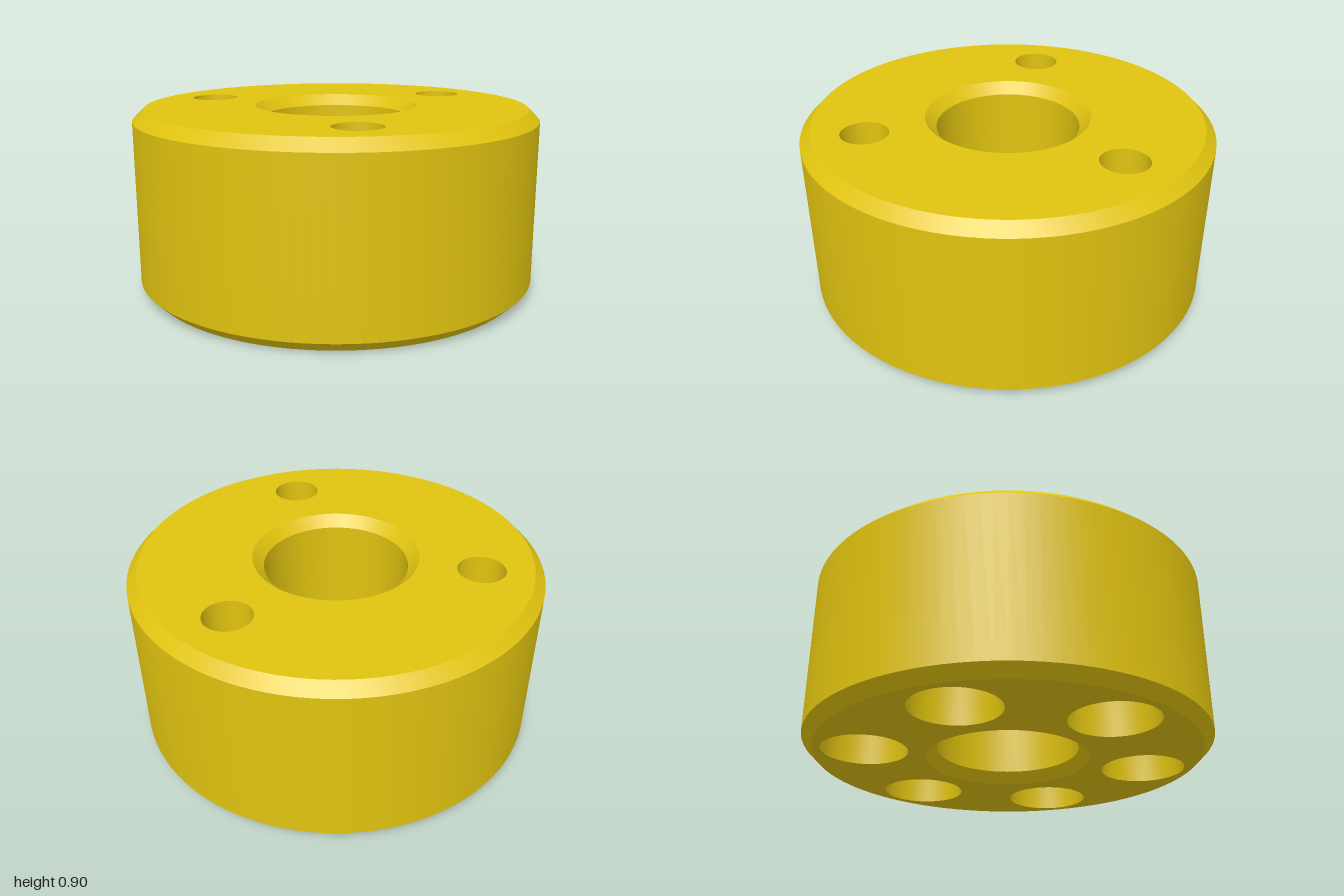
import * as THREE from 'three';
import { toCreasedNormals } from 'three/addons/utils/BufferGeometryUtils.js';

const SEG = 96, H = 0.9, C = 0.053, BORE = 0.35, RING = 0.7;
const TOP_R = 0.115, POCKET_R = 0.208, POCKET_WALL = 0.2;

// Surface of revolution with sharp chamfer edges; upward profiles face outward
function turned(points) {
  const g = new THREE.LatheGeometry(points.map(([x, y]) => new THREE.Vector2(x, y)), SEG);
  return toCreasedNormals(g, 0.5);
}

// Evenly spaced positions on the hole circle, the first at +z
function ringPositions(count) {
  return Array.from({ length: count }, (_, i) => {
    const a = (i / count) * Math.PI * 2;
    return [RING * Math.sin(a), RING * Math.cos(a)];
  });
}

// Flat end face with the bore and hole circle cut out, facing up or down
function endFace(holes, r, up) {
  const shape = new THREE.Shape().absarc(0, 0, 1 - C, 0, Math.PI * 2);
  const cut = (x, y, radius) =>
    shape.holes.push(new THREE.Path().absarc(x, y, radius, 0, Math.PI * 2, true));
  cut(0, 0, BORE + C);
  for (const [x, z] of holes) cut(x, up ? -z : z, r);
  const g = new THREE.ShapeGeometry(shape, SEG / 2);
  g.rotateX(up ? -Math.PI / 2 : Math.PI / 2);
  if (up) g.translate(0, H, 0);
  return g;
}

export function createModel() {
  const group = new THREE.Group();
  group.name = 'drilledRing';
  const yellow = new THREE.MeshStandardMaterial({ color: 0xe0c310 });
  yellow.name = 'yellow';
  const add = (name, geometry, x = 0, z = 0) => {
    const mesh = new THREE.Mesh(geometry, yellow);
    mesh.name = name;
    mesh.position.set(x, 0, z);
    group.add(mesh);
  };

  // Chamfered outer wall and central bore
  add('outerWall', turned([[1 - C, 0], [1, C], [1, H - C], [1 - C, H]]));
  add('bore', turned([[BORE + C, H], [BORE, H - C], [BORE, C], [BORE + C, 0]]));

  // End faces
  const topHoles = ringPositions(3), pockets = ringPositions(6);
  add('topFace', endFace(topHoles, TOP_R, true));
  add('bottomFace', endFace(pockets, POCKET_R, false));

  // Three blind holes in the top
  const topHole = turned([[TOP_R, H], [TOP_R, H - 0.25], [0, H - 0.25]]);
  topHoles.forEach(([x, z], i) => add(`topHole${i + 1}`, topHole, x, z));

  // Six round-ended pockets in the bottom
  const profile = [];
  for (let i = 0; i <= 12; i++) {
    const a = (i / 12) * Math.PI / 2;
    profile.push([POCKET_R * Math.sin(a), POCKET_WALL + POCKET_R * Math.cos(a)]);
  }
  profile.push([POCKET_R, 0]);
  const pocket = turned(profile);
  pockets.forEach(([x, z], i) => add(`bottomPocket${i + 1}`, pocket, x, z));

  return group;
}
